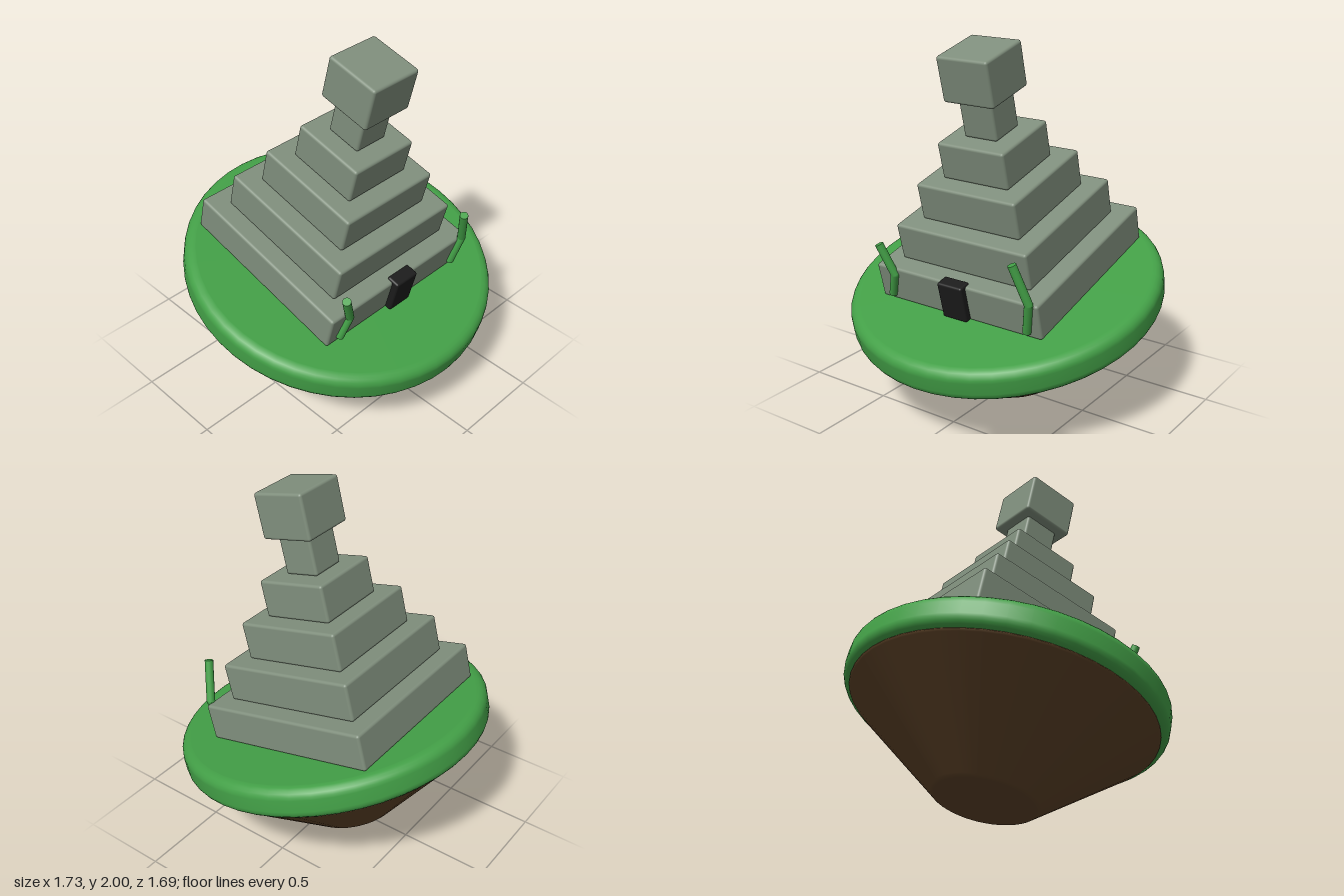
import * as THREE from 'three';
import { RoundedBoxGeometry } from 'three/addons/geometries/RoundedBoxGeometry.js';

const TILT = THREE.MathUtils.degToRad(14);
const DISC_Z = -0.143;   // island axis before tilting
const TOWER_Z = -0.234;  // tower axis before tilting

function material(name, color) {
  const m = new THREE.MeshStandardMaterial({ color });
  m.name = name;
  return m;
}

// Lathe profile with a rounded rim and flat caps
function roundedDisc(radius, bottom, top, bevel) {
  const pts = [new THREE.Vector2(0, bottom), new THREE.Vector2(radius - bevel - 0.004, bottom)];
  const arc = (cy, from) => {
    for (let i = 0; i <= 5; i++) {
      const a = from + (i / 5) * Math.PI / 2;
      pts.push(new THREE.Vector2(radius - bevel + Math.cos(a) * bevel, cy + Math.sin(a) * bevel));
    }
  };
  arc(bottom + bevel, -Math.PI / 2);
  arc(top - bevel, 0);
  pts.push(new THREE.Vector2(radius - bevel - 0.004, top), new THREE.Vector2(0, top));
  return new THREE.LatheGeometry(pts, 48);
}

export function createModel() {
  const stone = material('stone', 0x808f7d);
  const grass = material('grass', 0x43a047);
  const earth = material('earth', 0x5d4227);
  const dark = material('dark door', 0x1c1c1c);

  const model = new THREE.Group();
  model.name = 'floatingTemple';
  const island = new THREE.Group();
  island.name = 'tiltedIsland';
  island.rotation.x = TILT;
  model.add(island);

  const add = (name, geometry, mat, x, y, z, parent = island) => {
    const mesh = new THREE.Mesh(geometry, mat);
    mesh.name = name;
    mesh.position.set(x, y, z);
    parent.add(mesh);
    return mesh;
  };

  // Ground: grassy disc over an inverted cone of earth
  add('grassDisc', roundedDisc(0.863, 0.503, 0.68, 0.055), grass, 0, 0, DISC_Z);
  const cone = [[0, 0.032], [0.262, 0.032], [0.268, 0.033], [0.276, 0.037], [0.284, 0.044],
    [0.812, 0.492], [0.82, 0.5], [0.82, 0.506], [0, 0.506]];
  add('earthCone', new THREE.LatheGeometry(cone.map(p => new THREE.Vector2(...p)), 48), earth, 0, 0, DISC_Z);

  // Stepped tower: [half width, bottom, top]
  const blocks = [
    ['tier1', 0.516, 0.68, 0.884], ['tier2', 0.413, 0.884, 1.094],
    ['tier3', 0.309, 1.094, 1.304], ['tier4', 0.206, 1.304, 1.51],
    ['neck', 0.102, 1.51, 1.73], ['topBlock', 0.155, 1.72, 1.968],
  ];
  for (const [name, half, bottom, top] of blocks) {
    add(name, new RoundedBoxGeometry(half * 2, top - bottom, half * 2, 3, 0.015),
      stone, 0, (bottom + top) / 2, TOWER_Z);
  }

  // Doorway block on the front of the lowest tier
  add('door', new RoundedBoxGeometry(0.155, 0.21, 0.077, 3, 0.012), dark, 0, 0.789, 0.279);

  // Bent vines leaning on the front
  const R = 0.023, VINE_Z = 0.287;
  const vines = {
    rightVine: [[-0.435, 0.715], [-0.392, 0.848], [-0.458, 1.025]],
    leftVine: [[0.435, 0.715], [0.472, 0.89], [0.408, 1.108]],
  };
  for (const [name, pts] of Object.entries(vines)) {
    const vine = new THREE.Group();
    vine.name = name;
    island.add(vine);
    for (let i = 0; i < 2; i++) {
      const [ax, ay] = pts[i], [bx, by] = pts[i + 1];
      const stem = add('stem', new THREE.CylinderGeometry(R, R, Math.hypot(bx - ax, by - ay), 16),
        grass, (ax + bx) / 2, (ay + by) / 2, VINE_Z, vine);
      stem.rotation.z = Math.atan2(ax - bx, by - ay);
    }
    add('joint', new THREE.SphereGeometry(R, 16, 10), grass, pts[1][0], pts[1][1], VINE_Z, vine);
  }
  return model;
}
